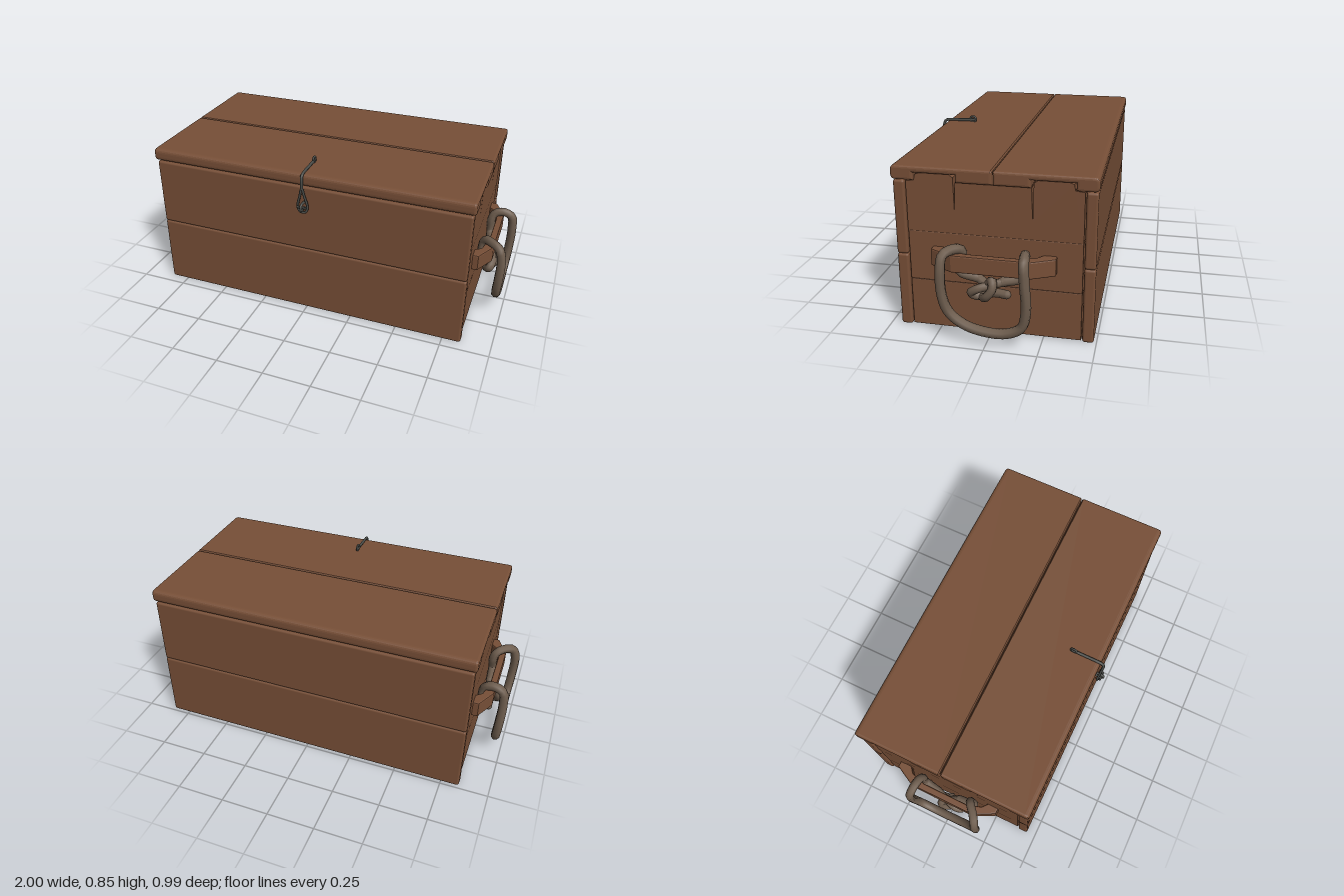
import * as THREE from 'three';
import { RoundedBoxGeometry } from 'three/addons/geometries/RoundedBoxGeometry.js';

const wood = new THREE.MeshStandardMaterial({ color: 0x774f37 });
wood.name = 'wood';
const rope = new THREE.MeshStandardMaterial({ color: 0x6e5d4e });
rope.name = 'rope';
const iron = new THREE.MeshStandardMaterial({ color: 0x4b4d49 });
iron.name = 'iron';

const V = (x, y, z) => new THREE.Vector3(x, y, z);

function add(parent, name, geometry, material) {
  const mesh = new THREE.Mesh(geometry, material);
  mesh.name = name;
  parent.add(mesh);
  return mesh;
}

// Rounded board given by its min and max corners
function board(parent, name, [x0, y0, z0], [x1, y1, z1], radius = 0.008) {
  const geo = new RoundedBoxGeometry(x1 - x0, y1 - y0, z1 - z0, 2, radius);
  geo.translate((x0 + x1) / 2, (y0 + y1) / 2, (z0 + z1) / 2);
  return add(parent, name, geo, wood);
}

// Profile in (z, y), extruded along x between x0 and x1 with a bevel
function extrudeX(shape, x0, x1, bevel) {
  const geo = new THREE.ExtrudeGeometry(shape, {
    depth: x1 - x0 - 2 * bevel, bevelEnabled: true, bevelSize: bevel,
    bevelThickness: bevel, bevelOffset: -bevel, bevelSegments: 3, curveSegments: 5,
  });
  geo.rotateY(-Math.PI / 2);
  geo.translate(x1 - bevel, 0, 0);
  return geo;
}

// Tube through points, with rounded ends unless closed
function cord(parent, name, points, radius, material, closed = false, sides = 8) {
  const curve = new THREE.CatmullRomCurve3(points, closed, 'centripetal');
  const group = new THREE.Group();
  group.name = name;
  add(group, name + 'Strand', new THREE.TubeGeometry(curve, points.length * 4, radius, sides, closed), material);
  if (!closed) {
    for (const p of [points[0], points[points.length - 1]]) {
      const cap = add(group, name + 'End', new THREE.SphereGeometry(radius, sides, 6), material);
      cap.position.copy(p);
    }
  }
  parent.add(group);
}

// Half of the lid: outer edge rounded, notch underneath for the end tab
function lidPlank(parent, name, inner, outer, notchA, notchB) {
  const d = Math.sign(outer - inner), r = 0.024, low = 0.745, high = 0.812;
  const s = new THREE.Shape();
  s.moveTo(inner, low);
  s.lineTo(notchA, low);
  s.lineTo(notchA, 0.781);
  s.lineTo(notchB, 0.781);
  s.lineTo(notchB, low);
  s.lineTo(outer - d * r, low);
  s.quadraticCurveTo(outer, low, outer, low + r);
  s.lineTo(outer, high - r);
  s.quadraticCurveTo(outer, high, outer - d * r, high);
  s.lineTo(inner + d * 0.006, high);
  s.lineTo(inner, high - 0.006);
  s.closePath();
  add(parent, name, extrudeX(s, -0.855, 0.855, 0.012), wood);
}

// End wall of three boards, the top one with two tabs and split lines
function endWall(parent, side) {
  const xa = side > 0 ? 0.785 : -0.837, xb = xa + 0.052;
  board(parent, 'lowerEndBoard', [xa, 0.005, -0.428], [xb, 0.247, 0.39], 0.004);
  board(parent, 'middleEndBoard', [xa, 0.247, -0.428], [xb, 0.495, 0.39], 0.004);
  const outline = [
    [-0.428, 0.495], [0.39, 0.495], [0.39, 0.737], [0.35, 0.742], [0.345, 0.77], [0.325, 0.778],
    [0.185, 0.778], [0.167, 0.765], [0.163, 0.58], [0.157, 0.742],
    [-0.192, 0.742], [-0.197, 0.58], [-0.202, 0.765], [-0.22, 0.778],
    [-0.36, 0.778], [-0.38, 0.77], [-0.385, 0.742], [-0.428, 0.737],
  ];
  const s = new THREE.Shape(outline.map(([z, y]) => new THREE.Vector2(z, y)));
  const geo = new THREE.ExtrudeGeometry(s, { depth: xb - xa, bevelEnabled: false });
  geo.rotateY(-Math.PI / 2);
  geo.translate(xb, 0, 0);
  add(parent, 'upperEndBoard', geo, wood);
}

// Wooden bridge with the rope threaded behind it
function handle(parent, side) {
  const group = new THREE.Group();
  group.name = side > 0 ? 'leftHandle' : 'rightHandle';
  const outline = [
    [0.83, 0.275], [0.866, 0.275], [0.922, 0.165], [0.922, -0.2], [0.866, -0.31], [0.83, -0.31],
    [0.83, -0.25], [0.865, -0.22], [0.888, -0.14], [0.888, 0.105], [0.865, 0.19], [0.83, 0.22],
  ];
  const s = new THREE.Shape(outline.map(([x, z]) => new THREE.Vector2(x * side, -z)));
  const geo = new THREE.ExtrudeGeometry(s, {
    depth: 0.072, bevelEnabled: true, bevelSize: 0.007, bevelThickness: 0.007, bevelOffset: -0.007, bevelSegments: 2,
  });
  geo.rotateX(-Math.PI / 2);
  geo.translate(0, 0.345, 0);
  add(group, 'handleCleat', geo, wood);

  const path = (pts) => pts.map(([x, y, z]) => V(x * side, y, z));
  // Hanging loop that goes over the bridge and down behind it
  cord(group, 'handleRope', path([
    [0.87, 0.30, 0.05], [0.865, 0.325, 0.14], [0.862, 0.40, 0.125], [0.875, 0.438, 0.13], [0.915, 0.448, 0.165],
    [0.955, 0.435, 0.192], [0.972, 0.38, 0.198], [0.97, 0.25, 0.196], [0.963, 0.16, 0.168],
    [0.96, 0.10, 0.095], [0.96, 0.073, -0.01], [0.96, 0.076, -0.10], [0.963, 0.115, -0.17],
    [0.97, 0.20, -0.193], [0.975, 0.35, -0.187], [0.965, 0.425, -0.182], [0.925, 0.447, -0.178],
    [0.88, 0.438, -0.172], [0.862, 0.40, -0.165], [0.865, 0.32, -0.16], [0.88, 0.295, -0.07],
  ]), 0.0235, rope);
  // Knot below the bridge
  cord(group, 'knotOver', path([
    [0.87, 0.30, 0.05], [0.895, 0.285, 0.0], [0.915, 0.315, -0.025], [0.93, 0.28, -0.03],
    [0.925, 0.235, 0.0], [0.89, 0.215, 0.025], [0.87, 0.25, 0.0],
  ]), 0.021, rope);
  cord(group, 'knotUnder', path([
    [0.88, 0.295, -0.07], [0.90, 0.28, -0.01], [0.915, 0.265, 0.045], [0.905, 0.237, 0.078],
    [0.885, 0.215, 0.04], [0.88, 0.235, -0.02], [0.895, 0.24, -0.09],
  ]), 0.021, rope);
  parent.add(group);
}

// Wire hasp: eye on the lid, bent arm, teardrop loop and a staple
function latch(parent) {
  const group = new THREE.Group();
  group.name = 'latch';
  cord(group, 'latchArm', [
    V(0, 0.823, 0.30), V(0, 0.82, 0.38), V(0, 0.818, 0.445), V(0, 0.812, 0.466), V(0, 0.79, 0.475), V(0, 0.74, 0.474),
  ], 0.008, iron, false, 6);
  cord(group, 'latchLoop', [
    V(0, 0.745, 0.474), V(0.012, 0.70, 0.472), V(0.026, 0.64, 0.468), V(0.018, 0.612, 0.468), V(0, 0.605, 0.468),
    V(-0.018, 0.612, 0.468), V(-0.026, 0.64, 0.468), V(-0.012, 0.70, 0.472),
  ], 0.0065, iron, true, 6);
  const eye = add(group, 'lidEye', new THREE.TorusGeometry(0.016, 0.006, 6, 12), iron);
  eye.position.set(0, 0.826, 0.306);
  eye.rotation.y = Math.PI / 2;
  cord(group, 'staple', [
    V(0, 0.655, 0.44), V(0, 0.655, 0.485), V(0, 0.648, 0.492), V(0, 0.632, 0.492), V(0, 0.625, 0.485), V(0, 0.625, 0.44),
  ], 0.007, iron, false, 6);
  const pin = add(group, 'staplePin', new THREE.CylinderGeometry(0.006, 0.006, 0.05, 6), iron);
  pin.rotation.z = Math.PI / 2;
  pin.position.set(0, 0.64, 0.482);
  parent.add(group);
}

export function createModel() {
  const model = new THREE.Group();
  model.name = 'chest';

  // Front and back planks
  for (const [name, z0, z1] of [['front', 0.395, 0.45], ['back', -0.487, -0.433]]) {
    board(model, name + 'LowerPlank', [-0.845, 0, z0], [0.845, 0.374, z1], 0.012);
    board(model, name + 'UpperPlank', [-0.845, 0.374, z0], [0.845, 0.74, z1], 0.012);
  }
  // Floor
  add(model, 'floor', new THREE.BoxGeometry(1.64, 0.03, 0.84), wood).position.set(0, 0.027, -0.018);

  // Lid
  lidPlank(model, 'frontLidPlank', -0.016, 0.457, 0.153, 0.35);
  lidPlank(model, 'backLidPlank', -0.02, -0.492, -0.19, -0.39);

  for (const side of [1, -1]) {
    endWall(model, side);
    handle(model, side);
  }
  latch(model);
  return model;
}
